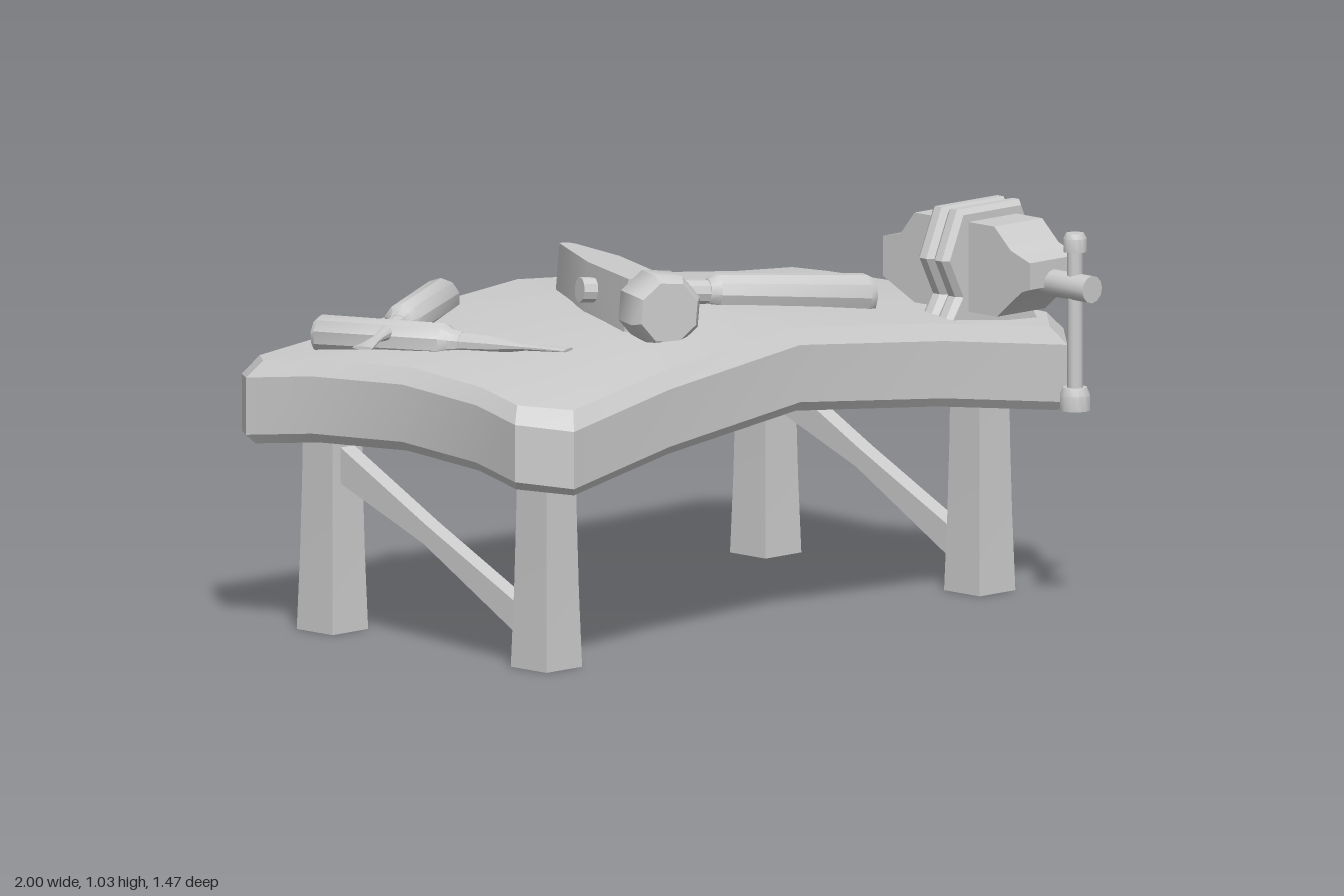
import * as THREE from 'three';
import { toCreasedNormals } from 'three/addons/utils/BufferGeometryUtils.js';

const material = new THREE.MeshStandardMaterial({ color: 0xcccccc });

function add(parent, name, geometry, x = 0, y = 0, z = 0, crease = 0.6) {
  const mesh = new THREE.Mesh(toCreasedNormals(geometry, crease), material);
  mesh.name = name;
  mesh.position.set(x, y, z);
  parent.add(mesh);
  return mesh;
}

const lathe = (points, sides) =>
  new THREE.LatheGeometry(points.map(([r, y]) => new THREE.Vector2(r, y)), sides);

const polygon = (points) => new THREE.Shape(points.map(([x, y]) => new THREE.Vector2(x, y)));

// Polygon given as (z, y), extruded across x and centred on x = 0
function sidePlate(points, width) {
  const geometry = new THREE.ExtrudeGeometry(polygon(points.map(([z, y]) => [-z, y])),
    { depth: width, bevelEnabled: false });
  return geometry.translate(0, 0, -width / 2).rotateY(Math.PI / 2);
}

// Sagging slab: rings of one pinched outline, from underside centre to top centre
const MID_Z = -0.13;
function tabletop() {
  const quarter = [[0.92, 0], [0.95, 0.3], [1, 0.49], [0.9, 0.605], [0.5, 0.555], [0, 0.53]];
  const half = [...quarter, ...quarter.slice(0, -1).reverse().map(([x, z]) => [-x, z])];
  const outline = [...half, ...half.slice(1, -1).reverse().map(([x, z]) => [x, -z])];
  const rise = (x, z) => {
    const a = Math.min(Math.abs(x) / 0.9, 1), b = Math.min(Math.abs(z) / 0.6, 1);
    return 0.1 * (1 - a ** 1.15) + 0.05 * (1 - b * b) * (0.4 + 0.6 * a);
  };
  // [x scale, z scale, height above the underside]
  const rings = [[0, 0, 0], [0.5, 0.5, 0], [0.98, 0.97, 0], [1, 1, 0.025],
    [1, 1, 0.175], [0.965, 0.945, 0.215], [0.65, 0.65, 0.215], [0.33, 0.33, 0.215], [0, 0, 0.215]];
  const positions = [], index = [], n = outline.length;
  rings.forEach(([sx, sz, h], r) => outline.forEach(([px, pz], i) => {
    const x = px * sx, z = pz * sz;
    positions.push(x, 0.48 + rise(x, z) + h, z + MID_Z);
    if (r === rings.length - 1) return;
    const a = r * n + i, b = r * n + (i + 1) % n;
    if (r > 0) index.push(a, a + n, b);
    if (r < rings.length - 2) index.push(b, a + n, b + n);
    if (r === 0) index.push(a, a + n, b + n);
  }));
  // Drop the doubled corner triangles of the first ring
  const clean = [];
  for (let i = 0; i < index.length; i += 3) {
    const t = index.slice(i, i + 3);
    if (t.filter((v) => v < n).length < 2) clean.push(...t);
  }
  const geometry = new THREE.BufferGeometry();
  geometry.setAttribute('position', new THREE.Float32BufferAttribute(positions, 3));
  geometry.setIndex(clean);
  return geometry;
}

// Square leg, slightly waisted towards the top
function leg() {
  const geometry = new THREE.BoxGeometry(0.13, 0.6, 0.13, 1, 3, 1).translate(0, 0.3, 0);
  const p = geometry.attributes.position;
  for (let i = 0; i < p.count; i++) {
    const t = p.getY(i) / 0.6, s = 1 - 0.2 * t * (1.6 - 0.7 * t);
    p.setX(i, p.getX(i) * s);
    p.setZ(i, p.getZ(i) * s);
  }
  return geometry;
}

// Screwdriver lying between its handle end and its blade tip
function screwdriver(name, from, to) {
  const start = new THREE.Vector3(...from), dir = new THREE.Vector3(...to).sub(start);
  const length = dir.length(), y = dir.clone().normalize();
  const z = new THREE.Vector3(0, 1, 0).addScaledVector(y, -y.y).normalize();
  const x = new THREE.Vector3().crossVectors(y, z);
  const group = new THREE.Group();
  group.name = name;
  group.position.copy(start);
  group.quaternion.setFromRotationMatrix(new THREE.Matrix4().makeBasis(x, y, z));
  add(group, 'grip', lathe([[0, 0], [0.046, 0], [0.053, 0.012], [0.05, 0.37], [0.036, 0.39],
    [0.03, 0.42], [0, 0.42]], 10));
  const blade = lathe([[0.03, 0.4], [0.024, 0.5], [0.014, 0.6], [0.017, 0.65], [0.028, length],
    [0, length]], 10);
  const p = blade.attributes.position;
  for (let i = 0; i < p.count; i++) {
    const flat = THREE.MathUtils.clamp((p.getY(i) - 0.5) / (length - 0.5), 0, 1);
    p.setZ(i, p.getZ(i) * (1 - 0.85 * flat));
  }
  add(group, 'blade', blade);
  return group;
}

function hammer() {
  const group = new THREE.Group();
  group.name = 'hammer';
  group.position.set(-0.166, 0.86, -0.101);
  group.rotation.set(0, -0.395, -0.085, 'YXZ');
  // Head with a wedge peen
  const head = new THREE.ExtrudeGeometry(polygon([[-0.065, 0.22], [0.065, 0.22], [0.067, -0.16],
    [0.022, -0.35], [0.01, -0.363], [-0.01, -0.363], [-0.022, -0.35], [-0.067, -0.05]]),
  { depth: 0.14, bevelEnabled: false }).rotateX(Math.PI / 2).translate(0, 0.065, 0);
  add(group, 'hammerHead', head);
  // Octagonal striking face
  const face = lathe([[0.068, 0.19], [0.1, 0.24], [0.1, 0.33], [0.082, 0.355], [0, 0.355]], 8);
  add(group, 'strikingFace', face.rotateY(Math.PI / 8).rotateX(Math.PI / 2));
  add(group, 'hammerShaft', new THREE.CylinderGeometry(0.033, 0.033, 0.4, 10)
    .rotateZ(-Math.PI / 2), 0.095, 0, 0);
  add(group, 'hammerGrip', lathe([[0, 0.25], [0.035, 0.25], [0.05, 0.275], [0.057, 0.69],
    [0.048, 0.71], [0, 0.71]], 10).rotateZ(-Math.PI / 2));
  return group;
}

function vise() {
  const group = new THREE.Group();
  group.name = 'vise';
  group.position.x = 0.735;
  // Stepped body
  add(group, 'viseBody', sidePlate([[0.47, 0.76], [0.56, 0.835], [0.59, 0.845], [0.59, 0.915],
    [0.52, 0.94], [0.46, 0.995], [0.17, 0.995], [0.12, 0.935], [0.055, 0.92], [0.055, 0.815],
    [0.17, 0.76]], 0.175));
  // Pair of jaw plates that flare into feet
  const half = [[0.165, 0.71], [0.105, 0.8], [0.155, 0.9], [0.105, 1.015]];
  const outline = [...half, ...half.slice().reverse().map(([x, y]) => [-x, y])];
  for (const [name, z] of [['backJaw', 0.282], ['frontJaw', 0.338]]) {
    add(group, name, new THREE.ExtrudeGeometry(polygon(outline), { depth: 0.024,
      bevelThickness: 0.016, bevelSize: 0.013, bevelSegments: 1 }).translate(0, 0, -0.012), 0, 0, z, 0.4);
  }
  // Screw and sliding bar
  add(group, 'screw', new THREE.CylinderGeometry(0.036, 0.036, 0.16, 12)
    .rotateX(Math.PI / 2), 0, 0.853, 0.65);
  add(group, 'slidingBar', lathe([[0, 0.53], [0.04, 0.53], [0.04, 0.57], [0.032, 0.59], [0.021, 0.59],
    [0.021, 0.945], [0.031, 0.945], [0.031, 0.98], [0.024, 0.993], [0, 0.993]], 12), 0, 0, 0.667);
  return group;
}

export function createModel() {
  const model = new THREE.Group();
  model.name = 'workbench';
  add(model, 'tabletop', tabletop(), 0, 0, 0, 0.5);
  for (const side of [-1, 1]) {
    add(model, 'frontLeg', leg(), side * 0.79, 0, 0.265);
    add(model, 'backLeg', leg(), side * 0.79, 0, -0.515);
    // Diagonal brace, slimmer in the middle
    add(model, 'legBrace', sidePlate([[0.23, 0.05], [-0.16, 0.272], [-0.47, 0.395], [-0.47, 0.49],
      [-0.15, 0.322], [0.23, 0.135]], 0.05), side * 0.79);
  }
  model.add(
    hammer(),
    screwdriver('lowerScrewdriver', [-0.79, 0.765, -0.565], [-0.575, 0.785, 0.13]),
    screwdriver('upperScrewdriver', [-0.3, 0.795, -0.605], [-0.95, 0.79, -0.245]),
    vise(),
  );
  return model;
}
